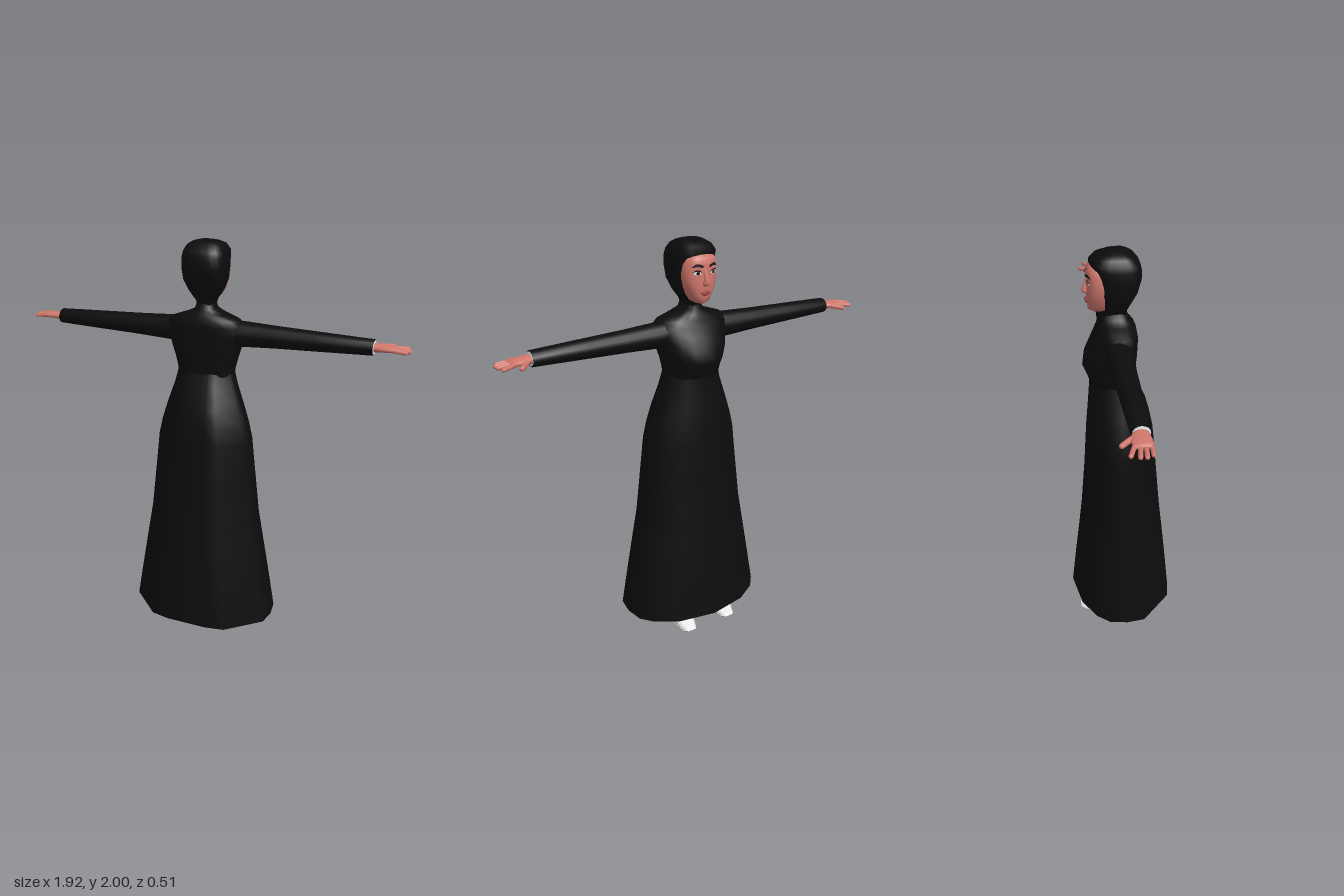
import * as THREE from 'three';
import { toCreasedNormals } from 'three/addons/utils/BufferGeometryUtils.js';

const mat = (name, color, side = THREE.FrontSide) => {
  const m = new THREE.MeshStandardMaterial({ color, side });
  m.name = name;
  return m;
};

// half outline of a rounded section, from back centre (+z) to front centre (-z)
function roundHalf(power, steps) {
  const pts = [];
  for (let i = 0; i <= steps; i++) {
    const a = (Math.PI * i) / steps, s = Math.sin(a), c = Math.cos(a);
    pts.push([Math.pow(Math.abs(s), 2 / power), Math.sign(c) * Math.pow(Math.abs(c), 2 / power)]);
  }
  pts[0][0] = pts[steps][0] = 0;
  return pts;
}

// skin over rings [y, halfWidth, frontZ, backZ]; zm is the depth of the widest line
function loft(rings, half, { zm = 0, capBottom = false, capTop = false } = {}) {
  const outline = [...half, ...half.slice(1, -1).reverse().map(([x, z]) => [-x, z])];
  const n = outline.length, pos = [], idx = [];
  for (const [y, w, zf, zb] of rings)
    for (const [x, z] of outline) pos.push(x * w, y, zm + (z > 0 ? z * (zb - zm) : -z * (zf - zm)));
  for (let r = 0; r < rings.length - 1; r++)
    for (let i = 0; i < n; i++) {
      const a = r * n + i, b = r * n + ((i + 1) % n);
      idx.push(a, b, a + n, b, b + n, a + n);
    }
  const cap = (r, up) => {
    const [y, , zf, zb] = rings[r], c = pos.length / 3;
    pos.push(0, y, (zf + zb) / 2);
    for (let i = 0; i < n; i++) {
      const a = r * n + i, b = r * n + ((i + 1) % n);
      up ? idx.push(a, b, c) : idx.push(b, a, c);
    }
  };
  if (capBottom) cap(0, false);
  if (capTop) cap(rings.length - 1, true);
  const g = new THREE.BufferGeometry();
  g.setAttribute('position', new THREE.Float32BufferAttribute(pos, 3));
  g.setIndex(idx);
  g.computeVertexNormals();
  return g;
}

// face rows, also used to lay painted details on the skin
const FACE = [
  [1.722, 0.02, -0.122, -0.05], [1.735, 0.042, -0.14, -0.05], [1.765, 0.062, -0.145, -0.05],
  [1.8, 0.076, -0.146, -0.05], [1.83, 0.084, -0.146, -0.05], [1.86, 0.087, -0.144, -0.05],
  [1.9, 0.085, -0.146, -0.05], [1.93, 0.074, -0.142, -0.05], [1.95, 0.05, -0.122, -0.05],
];
const FACE_ZM = -0.07, FACE_POWER = 2.5;
function faceZ(x, y) {
  let i = 0;
  while (i < FACE.length - 2 && FACE[i + 1][0] < y) i++;
  const [a, b] = [FACE[i], FACE[i + 1]], t = (y - a[0]) / (b[0] - a[0]);
  const w = a[1] + (b[1] - a[1]) * t, zf = a[2] + (b[2] - a[2]) * t;
  const k = Math.max(0, 1 - Math.pow(Math.abs(x) / w, FACE_POWER));
  return FACE_ZM + (zf - FACE_ZM) * Math.pow(k, 1 / FACE_POWER);
}
function faceDetail(points, lift) {
  const g = new THREE.ShapeGeometry(new THREE.Shape(points.map(([x, y]) => new THREE.Vector2(x, y))));
  const p = g.attributes.position;
  for (let i = 0; i < p.count; i++) p.setZ(i, faceZ(p.getX(i), p.getY(i)) - lift);
  g.computeVertexNormals();
  return g;
}
const oval = (cx, cy, rx, ry) => Array.from({ length: 12 }, (_, i) => {
  const a = (i * Math.PI) / 6;
  return [cx + rx * Math.cos(a), cy + ry * Math.sin(a)];
});

export function createModel() {
  const black = mat('black cloth', 0x0c0c0c, THREE.DoubleSide);
  const skin = mat('skin', 0xd0776c);
  const white = mat('white', 0xe4e4e4);
  const eyeWhite = mat('eye white', 0xdcdcdc, THREE.DoubleSide);
  const dark = mat('brow and iris', 0x1c1210, THREE.DoubleSide);
  const lip = mat('lips', 0xa04c48, THREE.DoubleSide);

  const model = new THREE.Group();
  const add = (name, geometry, material, parent = model) => {
    const m = new THREE.Mesh(geometry, material);
    m.name = name;
    parent.add(m);
    return m;
  };

  // long skirt, open at the hem, squarer at the back
  const hem = [[0, 1], [0.28, 1], [0.54, 0.93], [0.97, 0.35], [1, 0], [0.96, -0.35], [0.82, -0.6], [0.52, -0.86], [0, -1]];
  add('skirt', loft([
    [0.1, 0.37, -0.257, 0.257], [0.3, 0.337, -0.235, 0.238], [0.5, 0.303, -0.211, 0.217], [0.65, 0.277, -0.194, 0.2],
    [0.9, 0.25, -0.174, 0.178], [1.05, 0.234, -0.165, 0.165], [1.13, 0.215, -0.16, 0.157],
    [1.22, 0.187, -0.152, 0.138], [1.32, 0.153, -0.144, 0.095], [1.385, 0.137, -0.14, 0.07],
  ], hem), black);

  // bodice, shoulders and neck
  add('bodice', loft([
    [1.37, 0.138, -0.141, 0.072], [1.4, 0.141, -0.152, 0.073], [1.45, 0.153, -0.172, 0.076], [1.5, 0.17, -0.164, 0.08],
    [1.56, 0.185, -0.135, 0.083], [1.61, 0.195, -0.11, 0.083], [1.64, 0.17, -0.1, 0.077],
    [1.665, 0.095, -0.092, 0.062], [1.685, 0.052, -0.084, 0.045], [1.72, 0.038, -0.08, 0.034],
  ], roundHalf(2.2, 10)), black);

  // head covering
  add('hood', loft([
    [1.7, 0.038, -0.078, 0.036], [1.725, 0.045, -0.088, 0.037], [1.77, 0.078, -0.094, 0.058], [1.82, 0.1, -0.099, 0.084],
    [1.88, 0.106, -0.105, 0.1], [1.925, 0.105, -0.115, 0.098], [1.953, 0.099, -0.134, 0.088],
    [1.978, 0.085, -0.112, 0.066], [1.993, 0.062, -0.07, 0.04], [2, 0.035, -0.04, 0.015],
  ], roundHalf(2.9, 12), { capTop: true }), black);

  // face with nose, lips, eyes and brows
  const face = new THREE.Group();
  face.name = 'face';
  model.add(face);
  add('faceSkin', loft(FACE, roundHalf(FACE_POWER, 14), { zm: FACE_ZM, capBottom: true, capTop: true }), skin, face);
  add('nose', loft([
    [1.805, 0.008, -0.148, -0.13], [1.812, 0.018, -0.163, -0.13], [1.822, 0.016, -0.17, -0.13],
    [1.845, 0.01, -0.16, -0.13], [1.885, 0.007, -0.147, -0.13],
  ], roundHalf(2, 6), { zm: -0.138, capBottom: true, capTop: true }), skin, face);
  add('mouth', loft([
    [1.763, 0.012, -0.147, -0.13], [1.77, 0.024, -0.154, -0.13], [1.776, 0.029, -0.15, -0.13],
    [1.782, 0.023, -0.155, -0.13], [1.789, 0.01, -0.148, -0.13],
  ], roundHalf(2, 6), { zm: -0.138, capBottom: true, capTop: true }), lip, face);
  for (const s of [1, -1]) {
    const at = (pts) => pts.map(([x, y]) => [s * x, y]);
    add('eye', faceDetail(at(oval(0.041, 1.867, 0.019, 0.009)), 0.003), eyeWhite, face);
    add('iris', faceDetail(at(oval(0.04, 1.867, 0.008, 0.008)), 0.0045), dark, face);
    add('lashLine', faceDetail(at([[0.019, 1.868], [0.032, 1.875], [0.05, 1.876], [0.065, 1.869], [0.052, 1.881], [0.031, 1.88]]), 0.005), dark, face);
    add('eyebrow', faceDetail(at([[0.016, 1.889], [0.04, 1.896], [0.068, 1.891], [0.05, 1.907], [0.034, 1.907], [0.016, 1.9]]), 0.004), dark, face);
  }

  // arms, hands, legs and shoes, mirrored
  const round = roundHalf(2, 8);
  for (const s of [1, -1]) {
    const sideName = s > 0 ? 'left' : 'right';
    const arm = new THREE.Group();
    arm.name = sideName + 'Arm';
    arm.position.y = 1.575;
    arm.scale.x = s;
    model.add(arm);
    const along = (rings, opts) => loft(rings, round, { zm: -0.017, ...opts }).rotateZ(-Math.PI / 2);
    add('sleeve', along([
      [0.08, 0.065, -0.08, 0.05], [0.19, 0.06, -0.08, 0.045], [0.35, 0.052, -0.073, 0.036],
      [0.55, 0.045, -0.067, 0.032], [0.8, 0.036, -0.059, 0.025],
    ], { capTop: true }), black, arm);
    add('cuffLining', along([[0.797, 0.032, -0.053, 0.021], [0.802, 0.032, -0.053, 0.021]], { capTop: true }), white, arm);
    add('palm', along([
      [0.79, 0.02, -0.047, 0.012], [0.82, 0.019, -0.062, 0.016], [0.85, 0.016, -0.066, 0.02],
      [0.885, 0.013, -0.062, 0.021], [0.9, 0.008, -0.052, 0.017],
    ], { capTop: true }), skin, arm);
    // digits given as base x, z, tip x, z and radius
    const digits = [[0.82, -0.045, 0.868, -0.1, 0.012], [0.87, -0.05, 0.938, -0.076, 0.01],
      [0.87, -0.031, 0.95, -0.042, 0.01], [0.87, -0.01, 0.952, -0.017, 0.01], [0.87, 0.01, 0.942, 0.008, 0.009]];
    digits.forEach(([x0, z0, x1, z1, r], i) => {
      const a = new THREE.Vector3(x0, 0, z0), b = new THREE.Vector3(x1, -0.006, z1), d = b.clone().sub(a);
      const digit = add(i ? 'finger' : 'thumb', new THREE.CapsuleGeometry(r, d.length(), 3, 8), skin, arm);
      digit.position.copy(a).add(b).multiplyScalar(0.5);
      digit.quaternion.setFromUnitVectors(new THREE.Vector3(0, 1, 0), d.normalize());
    });

    const leg = new THREE.Group();
    leg.name = sideName + 'Leg';
    leg.position.x = s * 0.118;
    model.add(leg);
    add('trouserLeg', loft([[0.05, 0.042, -0.1, 0.005], [0.12, 0.045, -0.085, 0.012], [0.5, 0.06, -0.085, 0.04],
      [1.0, 0.075, -0.1, 0.06]], round, { zm: -0.035 }), black, leg);

    // shoe: side profile extruded across, narrowed towards the toe
    const profile = new THREE.Shape([[-0.016, 0.01], [0.2, 0.01], [0.21, 0.016], [0.17, 0.033], [0.1, 0.052], [0.085, 0.056],
      [-0.016, 0.056]].map(([x, y]) => new THREE.Vector2(x, y)));
    const shoe = new THREE.ExtrudeGeometry(profile, { depth: 0.084, bevelThickness: 0.011, bevelSize: 0.01, bevelSegments: 1 });
    shoe.translate(0, 0, -0.042).rotateY(Math.PI / 2);
    const p = shoe.attributes.position;
    for (let i = 0; i < p.count; i++) {
      const t = Math.max(0, (-p.getZ(i) - 0.11) / 0.11);
      p.setX(i, p.getX(i) * (1 - 0.45 * t * t));
    }
    add('shoe', toCreasedNormals(shoe, 0.5), white, leg);
  }
  return model;
}
